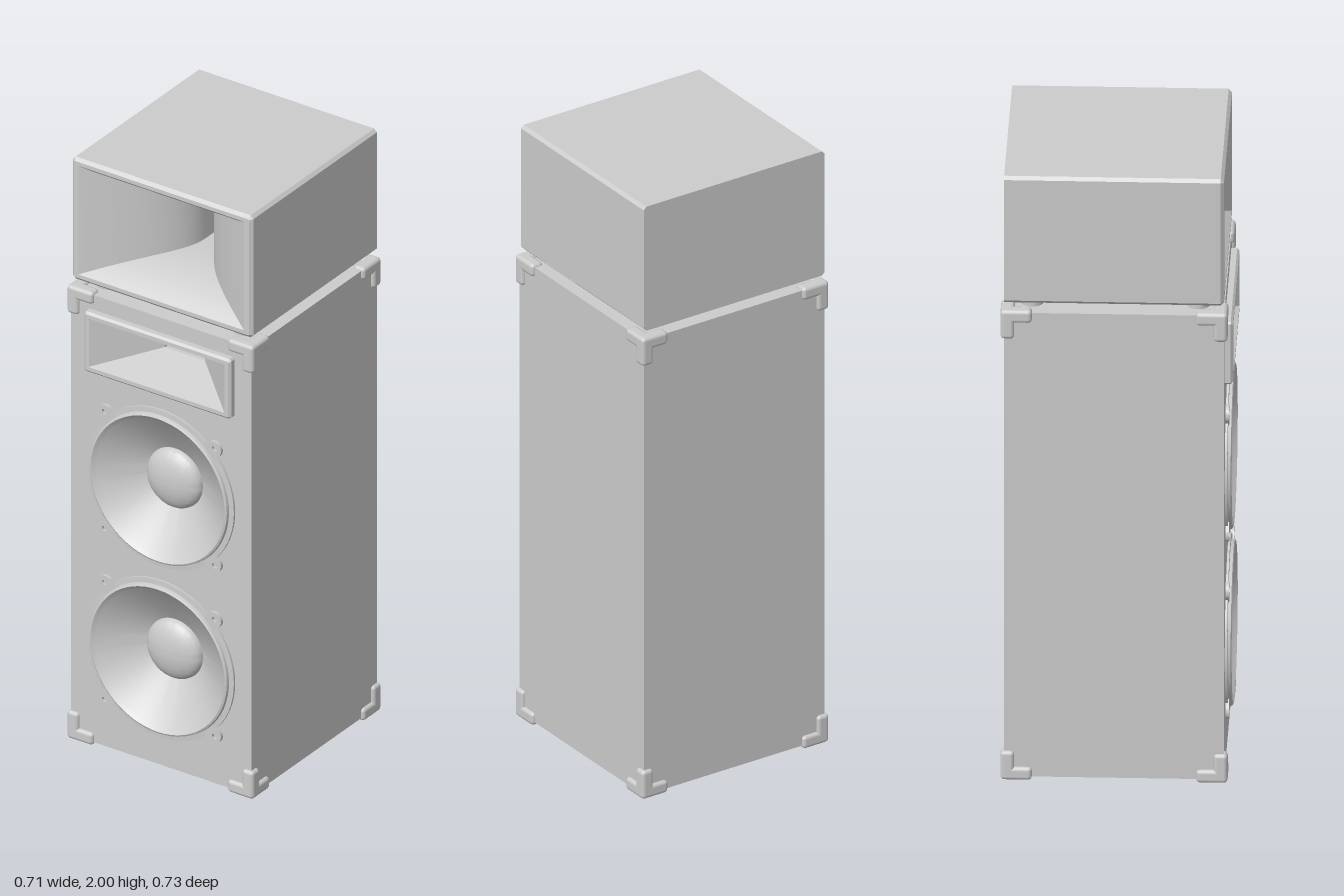
import * as THREE from 'three';
import { toCreasedNormals } from 'three/addons/utils/BufferGeometryUtils.js';
import { RoundedBoxGeometry } from 'three/addons/geometries/RoundedBoxGeometry.js';

const grey = new THREE.MeshStandardMaterial({ color: 0xcccccc });

function part(name, geometry, parent, x = 0, y = 0, z = 0) {
  const mesh = new THREE.Mesh(geometry, grey);
  mesh.name = name;
  mesh.position.set(x, y, z);
  parent.add(mesh);
  return mesh;
}

// Skin through rectangles [halfWidth, halfHeight, z, cornerCut], listed along the surface
function loft(sections) {
  const pos = [], idx = [];
  for (const [w, h, z, cut = 0.001] of sections) {
    const c = Math.min(cut, w, h);
    const loop = [[w, c - h], [w, h - c], [w - c, h], [c - w, h], [-w, h - c], [-w, c - h], [c - w, -h], [w - c, -h]];
    for (const [x, y] of loop) pos.push(x, y, z);
  }
  for (let i = 0; i < sections.length - 1; i++) {
    for (let j = 0; j < 8; j++) {
      const a = i * 8 + j, b = i * 8 + (j + 1) % 8;
      idx.push(a, b, b + 8, a, b + 8, a + 8);
    }
  }
  const g = new THREE.BufferGeometry();
  g.setAttribute('position', new THREE.Float32BufferAttribute(pos, 3));
  g.setIndex(idx);
  return toCreasedNormals(g, 0.35);
}

function rect(Type, w, h, cy) {
  const p = new Type();
  p.moveTo(-w, cy - h);
  p.lineTo(w, cy - h);
  p.lineTo(w, cy + h);
  p.lineTo(-w, cy + h);
  p.closePath();
  return p;
}

const HALF = 0.33, BACK = -0.337, FRONT = 0.325;
const BOTTOM = 0.01, TOP = 1.55;
const WOOFERS = [0.378, 0.966], TWEETER = 1.396;

// Main cabinet with openings for the drivers
function addCabinet(parent) {
  const shape = rect(THREE.Shape, HALF, (TOP - BOTTOM) / 2, (TOP + BOTTOM) / 2);
  for (const y of WOOFERS) {
    const hole = new THREE.Path();
    hole.absarc(0, y, 0.255, 0, Math.PI * 2, true);
    shape.holes.push(hole);
  }
  shape.holes.push(rect(THREE.Path, 0.255, 0.09, TWEETER));
  const depth = FRONT - BACK - 0.02;
  part('cabinet', new THREE.ExtrudeGeometry(shape, { depth, bevelEnabled: false, curveSegments: 32 }),
    parent, 0, 0, BACK + 0.02);
  part('cabinetBack', new THREE.BoxGeometry(HALF * 2, TOP - BOTTOM, 0.02),
    parent, 0, (TOP + BOTTOM) / 2, BACK + 0.01);
}

// Woofer: flange, surround, cone and dust cap in one profile, plus screw lugs
function addWoofer(parent, y) {
  const woofer = new THREE.Group();
  woofer.name = 'woofer';
  woofer.position.set(0, y, FRONT);
  parent.add(woofer);

  const profile = [[0.27, 0], [0.27, 0.007], [0.253, 0.008], [0.251, 0.017], [0.245, 0.02], [0.238, 0.014], [0.232, 0.008], [0.1, -0.075]];
  for (let i = 1; i <= 8; i++) {
    const a = i / 8 * Math.PI / 2;
    profile.push([0.1 * Math.cos(a), -0.075 + 0.045 * Math.sin(a)]);
  }
  const lathe = new THREE.LatheGeometry(profile.map(([r, h]) => new THREE.Vector2(Math.max(r, 0), h)), 64);
  part('coneAndRim', toCreasedNormals(lathe.rotateX(Math.PI / 2), 0.6), woofer);

  const lug = new THREE.Shape();
  lug.moveTo(0.255, -0.027);
  lug.lineTo(0.28, -0.027);
  lug.absarc(0.28, 0, 0.027, -Math.PI / 2, Math.PI / 2, false);
  lug.lineTo(0.255, 0.027);
  lug.closePath();
  const hole = new THREE.Path();
  hole.absarc(0.285, 0, 0.009, 0, Math.PI * 2, true);
  lug.holes.push(hole);
  const lugGeometry = new THREE.ExtrudeGeometry(lug, { depth: 0.011, bevelEnabled: false });
  for (let i = 0; i < 4; i++) part('screwLug', lugGeometry, woofer).rotation.z = Math.PI / 4 + i * Math.PI / 2;
}

// Small horn with raised frame
function addTweeter(parent) {
  part('tweeterHorn', loft([
    [0.268, 0.103, FRONT - 0.005, 0.006], [0.268, 0.103, 0.343, 0.006], [0.261, 0.096, 0.35, 0.004],
    [0.248, 0.083, 0.35], [0.073, 0.028, 0.2], [0.073, 0.028, 0], [0, 0, 0],
  ]), parent, 0, TWEETER, 0);
}

// Upper box whose front opens into a large flared horn
function addHornBox(parent) {
  const c = 0.01, h = 0.21;
  const sections = [
    [0, 0, BACK], [HALF, h, BACK, c], [HALF, h, FRONT - c, c], [HALF - c, h - c, FRONT, 0.003],
  ];
  const steps = 16;
  for (let i = 0; i <= steps; i++) {
    const s = 1 - i / steps, u = s * s;
    sections.push([0.034 + 0.269 * u, 0.107 + 0.08 * Math.pow(u, 1.5), FRONT - 0.28 * (1 - s)]);
  }
  sections.push([0.034, 0.107, -0.08], [0, 0, -0.08]);
  part('hornBox', loft(sections), parent, 0, 2 - h, 0);

  // Spacer feet under the horn box
  const foot = new THREE.CylinderGeometry(0.035, 0.035, 0.034, 24);
  for (const x of [-0.25, 0.25]) for (const z of [-0.255, 0.245]) part('spacerFoot', foot, parent, x, 1.565, z);
}

// Three-armed protectors on all eight cabinet corners
function addCorners(parent) {
  const len = 0.095, w = 0.042, out = 0.011;
  const arms = [[len, w, w], [w, len, w], [w, w, len]];
  const geometries = arms.map(([x, y, z]) =>
    new RoundedBoxGeometry(x, y, z, 2, 0.012).translate(-x / 2, -y / 2, -z / 2));
  for (const sx of [-1, 1]) for (const sy of [-1, 1]) for (const sz of [-1, 1]) {
    const corner = new THREE.Group();
    corner.name = 'cornerGuard';
    corner.position.set(
      sx * (HALF + out),
      sy > 0 ? TOP + 0.01 : BOTTOM - 0.01,
      sz > 0 ? FRONT + out : BACK - out);
    corner.scale.set(sx, sy, sz);
    geometries.forEach((g) => part('guardArm', g, corner));
    parent.add(corner);
  }
}

export function createModel() {
  const model = new THREE.Group();
  const speaker = new THREE.Group();
  speaker.name = 'speaker';
  speaker.rotation.y = -0.05; // stands slightly turned
  model.add(speaker);
  addCabinet(speaker);
  WOOFERS.forEach((y) => addWoofer(speaker, y));
  addTweeter(speaker);
  addHornBox(speaker);
  addCorners(speaker);
  return model;
}
